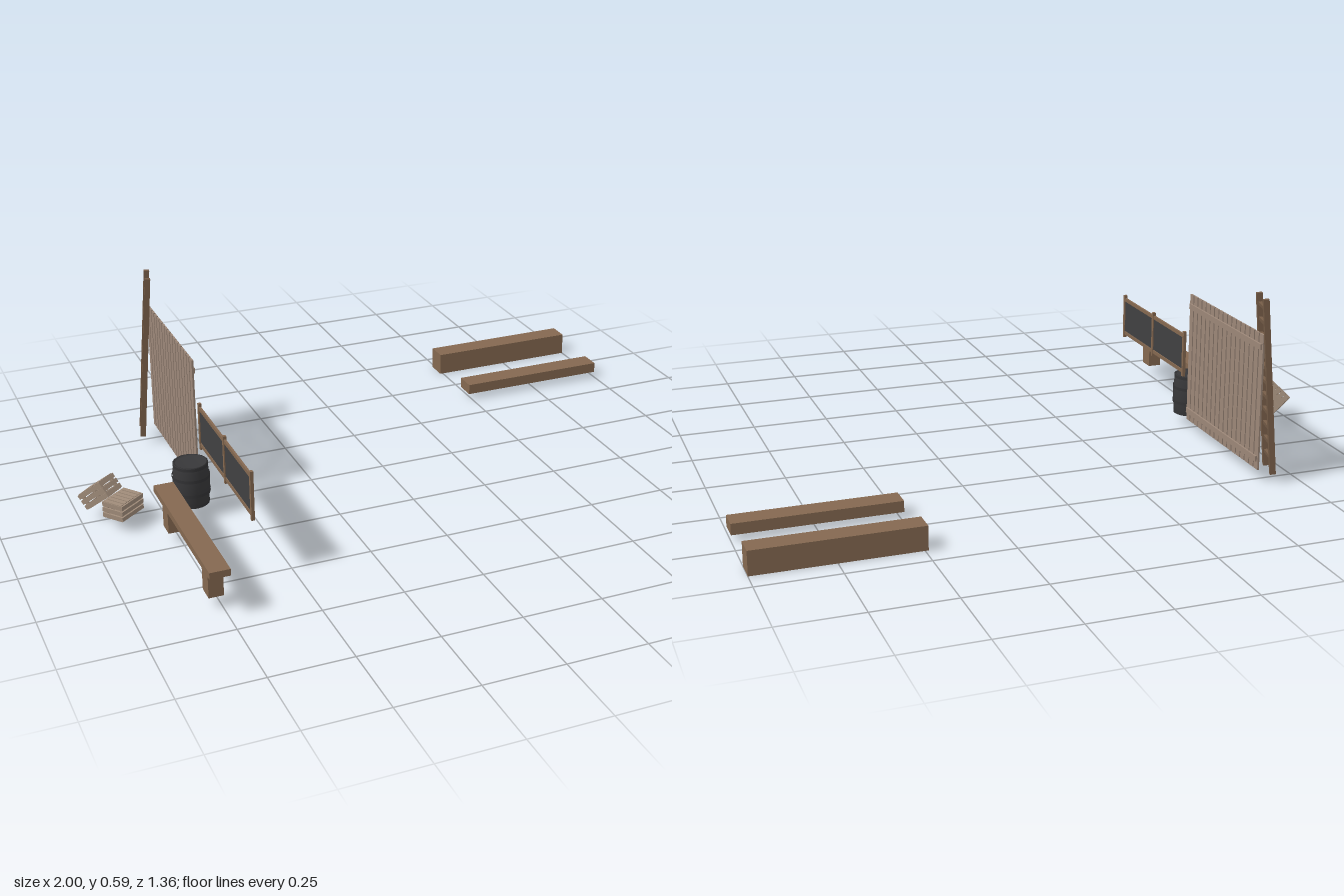
import * as THREE from 'three';

const mat = (color, extra = {}) => new THREE.MeshStandardMaterial({ color, ...extra });
const wood = mat(0x846850), paleWood = mat(0x9c8778), crateWood = mat(0xa08c7a);
const ladderWood = mat(0x755c47), dark = mat(0x404042), iron = mat(0x38383a);

function box(parent, name, material, size, pos) {
  const mesh = new THREE.Mesh(new THREE.BoxGeometry(...size), material);
  mesh.name = name;
  mesh.position.set(...pos);
  parent.add(mesh);
  return mesh;
}

function group(parent, name) {
  const g = new THREE.Group();
  g.name = name;
  parent.add(g);
  return g;
}

// Slatted crate, centred on its own origin
function addCrate(parent, name) {
  const L = 0.105, H = 0.055, W = 0.075, t = 0.005;
  const g = group(parent, name);
  for (const x of [-1, 1]) for (const z of [-1, 1])
    box(g, 'cornerPost', crateWood, [0.009, H - 2 * t, 0.009], [x * (L / 2 - t - 0.0045), 0, z * (W / 2 - t - 0.0045)]);
  for (const s of [-1, 1]) {
    for (let i = -1; i <= 1; i++) {
      box(g, 'sideSlat', crateWood, [L, 0.014, t], [0, i * 0.0185, s * (W / 2 - t / 2)]);
      box(g, 'endSlat', crateWood, [t, 0.014, W - 2 * t], [s * (L / 2 - t / 2), i * 0.0185, 0]);
    }
    for (let i = 0; i < 6; i++)
      box(g, 'lidSlat', crateWood, [0.014, t, W - 2 * t], [(i - 2.5) * 0.0175, s * (H / 2 - t / 2), 0]);
  }
  return g;
}

export function createModel() {
  const model = new THREE.Group();
  model.name = 'woodenProps';

  // Two loose beams
  box(model, 'largeBeam', wood, [0.51, 0.075, 0.07], [0.745, 0.0375, -0.645]);
  box(model, 'smallBeam', wood, [0.51, 0.035, 0.07], [0.745, 0.0375, -0.4]);

  // Bench
  const bench = group(model, 'bench');
  box(bench, 'seat', wood, [0.062, 0.021, 0.56], [-0.769, 0.137, 0.395]);
  for (const z of [0.2, 0.597])
    box(bench, 'leg', wood, [0.045, 0.09, 0.055], [-0.768, 0.082, z]);

  // Plank fence with two rails
  const fence = group(model, 'fence');
  for (let i = 0; i < 17; i++)
    box(fence, 'plank', paleWood, [0.006, 0.435, 0.024], [-0.621, 0.2575, -0.031 - i * 0.0302]);
  for (const y of [0.075, 0.436])
    box(fence, 'rail', paleWood, [0.006, 0.018, 0.495], [-0.615, y, -0.273]);

  // Railing with dark infill panel
  const railing = group(model, 'railing');
  box(railing, 'panel', dark, [0.003, 0.11, 0.495], [-0.613, 0.263, 0.252]);
  for (const y of [0.201, 0.324])
    box(railing, 'rail', wood, [0.007, 0.012, 0.495], [-0.613, y, 0.252]);
  for (const z of [0.006, 0.252, 0.498])
    box(railing, 'post', wood, [0.01, 0.156, 0.011], [-0.613, 0.262, z]);

  // Leaning ladder
  const ladder = group(model, 'ladder');
  ladder.position.set(-0.669, 0.03, -0.509);
  ladder.rotation.set(0, -0.23, -0.083);
  for (const s of [-1, 1])
    box(ladder, 'ladderRail', ladderWood, [0.018, 0.562, 0.014], [0, 0.281, s * 0.04]);
  for (let i = 0; i < 11; i++)
    box(ladder, 'rung', ladderWood, [0.01, 0.011, 0.075], [0, 0.05 + i * 0.048, 0]);

  // Barrel with raised rims and hoops
  const barrel = group(model, 'barrel');
  barrel.position.set(-0.665, 0.036, 0.055);
  const profile = [[0, 0.004], [0.047, 0.004], [0.049, 0], [0.052, 0], [0.0545, 0.02], [0.057, 0.045], [0.058, 0.069],
    [0.057, 0.093], [0.0545, 0.118], [0.052, 0.138], [0.049, 0.138], [0.047, 0.133], [0, 0.133]];
  const body = new THREE.Mesh(
    new THREE.LatheGeometry(profile.map(([r, y]) => new THREE.Vector2(r, y)), 24), iron);
  body.name = 'barrelBody';
  barrel.add(body);
  for (const [y, r] of [[0.006, 0.0545], [0.044, 0.059], [0.094, 0.059], [0.132, 0.0545]]) {
    const hoop = new THREE.Mesh(new THREE.CylinderGeometry(r, r, 0.01, 24, 1, true), mat(0x333335, { side: THREE.DoubleSide }));
    hoop.name = 'hoop';
    hoop.position.y = y;
    barrel.add(hoop);
  }

  // One crate on the ground, the other tipped against it
  const flatCrate = addCrate(model, 'flatCrate');
  flatCrate.position.set(-0.88, 0.0625, 0.043);
  flatCrate.rotation.y = 0.66;
  const tippedCrate = addCrate(model, 'tippedCrate');
  tippedCrate.position.set(-0.935, 0.09, -0.02);
  tippedCrate.rotation.set(0, -0.835, 0.66);

  return model;
}
